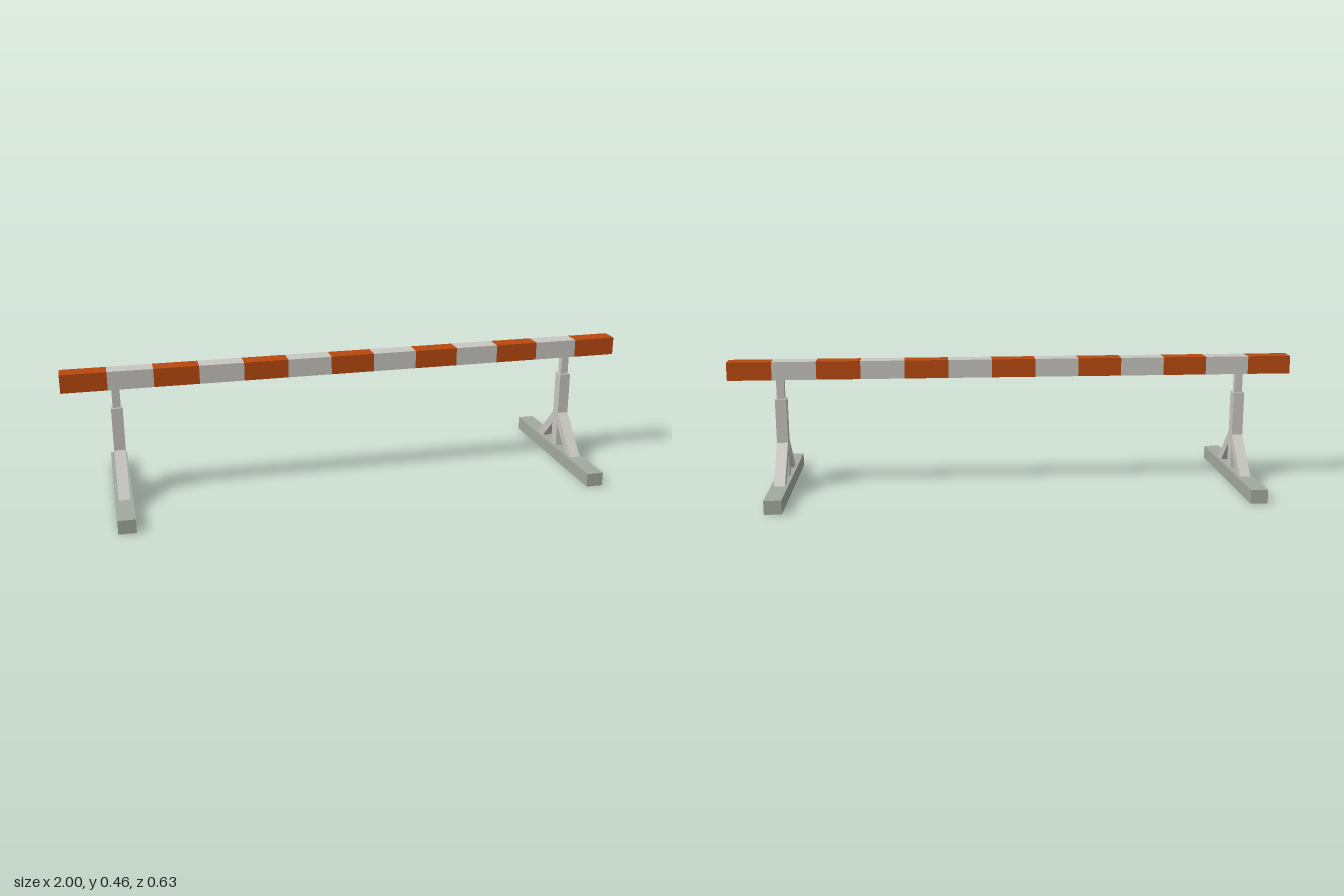
import * as THREE from 'three';

export function createModel() {
  const orange = new THREE.MeshStandardMaterial({ name: 'orange', color: 0xb9490e });
  const white = new THREE.MeshStandardMaterial({ name: 'offWhite', color: 0xc8c6c1 });
  const grey = new THREE.MeshStandardMaterial({ name: 'greenGrey', color: 0xa2a99f });

  const model = new THREE.Group();
  model.name = 'barrier';

  // Box spanning y0..y1, centred on x and z
  const box = (parent, name, material, w, d, y0, y1, x = 0, z = 0) => {
    const mesh = new THREE.Mesh(new THREE.BoxGeometry(w, y1 - y0, d), material);
    mesh.name = name;
    mesh.position.set(x, (y0 + y1) / 2, z);
    parent.add(mesh);
  };

  // Striped beam: 13 alternating segments
  const beam = new THREE.Group();
  beam.name = 'beam';
  const count = 13, step = 2 / count;
  for (let i = 0; i < count; i++) {
    box(beam, 'beamSegment', i % 2 ? white : orange, step, 0.064, 0.4, 0.464, -1 + (i + 0.5) * step, 0.001);
  }
  model.add(beam);

  // Diagonal brace, drawn in (z, y) and extruded across x
  const brace = (side, foot, rise) => {
    const inner = 0.021;
    const shape = new THREE.Shape([
      [inner, rise - 0.048], [foot - 0.046, 0.047], [foot, 0.047], [inner, rise],
    ].map(([z, y]) => new THREE.Vector2(side * z, y)));
    const width = 0.038;
    const geometry = new THREE.ExtrudeGeometry(shape, { depth: width, bevelEnabled: false });
    geometry.translate(0, 0, -width / 2).rotateY(-Math.PI / 2);
    const mesh = new THREE.Mesh(geometry, white);
    mesh.name = 'brace';
    return mesh;
  };

  // Two stands
  for (const side of [-1, 1]) {
    const stand = new THREE.Group();
    stand.name = side > 0 ? 'leftStand' : 'rightStand';
    stand.position.x = side * 0.821;
    box(stand, 'foot', grey, 0.059, 0.632, 0, 0.048);
    box(stand, 'sleevePost', white, 0.039, 0.042, 0.048, 0.33);
    box(stand, 'innerPost', white, 0.027, 0.024, 0.33, 0.4);
    stand.add(brace(1, 0.152, 0.179), brace(-1, 0.146, 0.173));
    model.add(stand);
  }
  return model;
}
